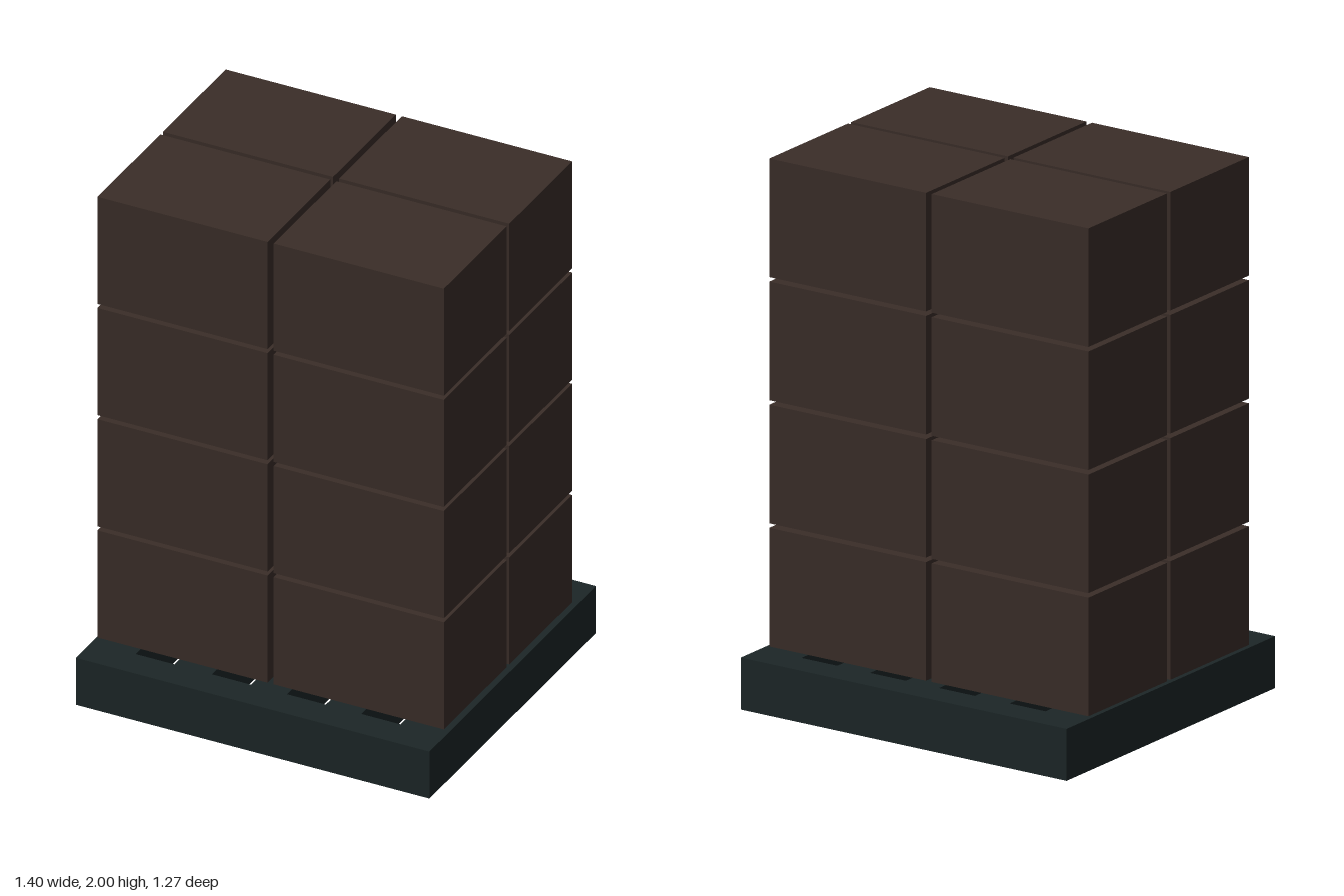
import * as THREE from 'three';

export function createModel() {
  const model = new THREE.Group();
  model.name = 'loadedPallet';
  const palletMat = new THREE.MeshStandardMaterial({ color: 0x1c2627 });
  const cartonMat = new THREE.MeshStandardMaterial({ color: 0x3a2d28 });

  // Rectangle traced as a closed outline
  const rect = (path, x0, x1, y0, y1) => {
    path.moveTo(x0, y0);
    path.lineTo(x1, y0);
    path.lineTo(x1, y1);
    path.lineTo(x0, y1);
    path.closePath();
    return path;
  };

  // Pallet: slab with four slots cut right through
  const slab = rect(new THREE.Shape(), -0.698, 0.698, -0.637, 0.637);
  for (const x of [-0.447, -0.145, 0.151, 0.445]) {
    slab.holes.push(rect(new THREE.Path(), x - 0.077, x + 0.077, -0.518, 0.518));
  }
  const palletGeo = new THREE.ExtrudeGeometry(slab, { depth: 0.192, bevelEnabled: false });
  palletGeo.rotateX(-Math.PI / 2);
  const pallet = new THREE.Mesh(palletGeo, palletMat);
  pallet.name = 'pallet';
  model.add(pallet);

  // Cartons: four layers of two by two with narrow gaps
  const cartons = new THREE.Group();
  cartons.name = 'cartons';
  const [w, h, d] = [0.672, 0.438, 0.48];
  const cartonGeo = new THREE.BoxGeometry(w, h, d);
  for (let layer = 0; layer < 4; layer++) {
    for (const x of [-0.354, 0.342]) {
      for (const z of [-0.252, 0.248]) {
        const carton = new THREE.Mesh(cartonGeo, cartonMat);
        carton.name = 'carton';
        carton.position.set(x, 0.198 + h / 2 + layer * 0.4547, z);
        cartons.add(carton);
      }
    }
  }
  model.add(cartons);
  return model;
}
